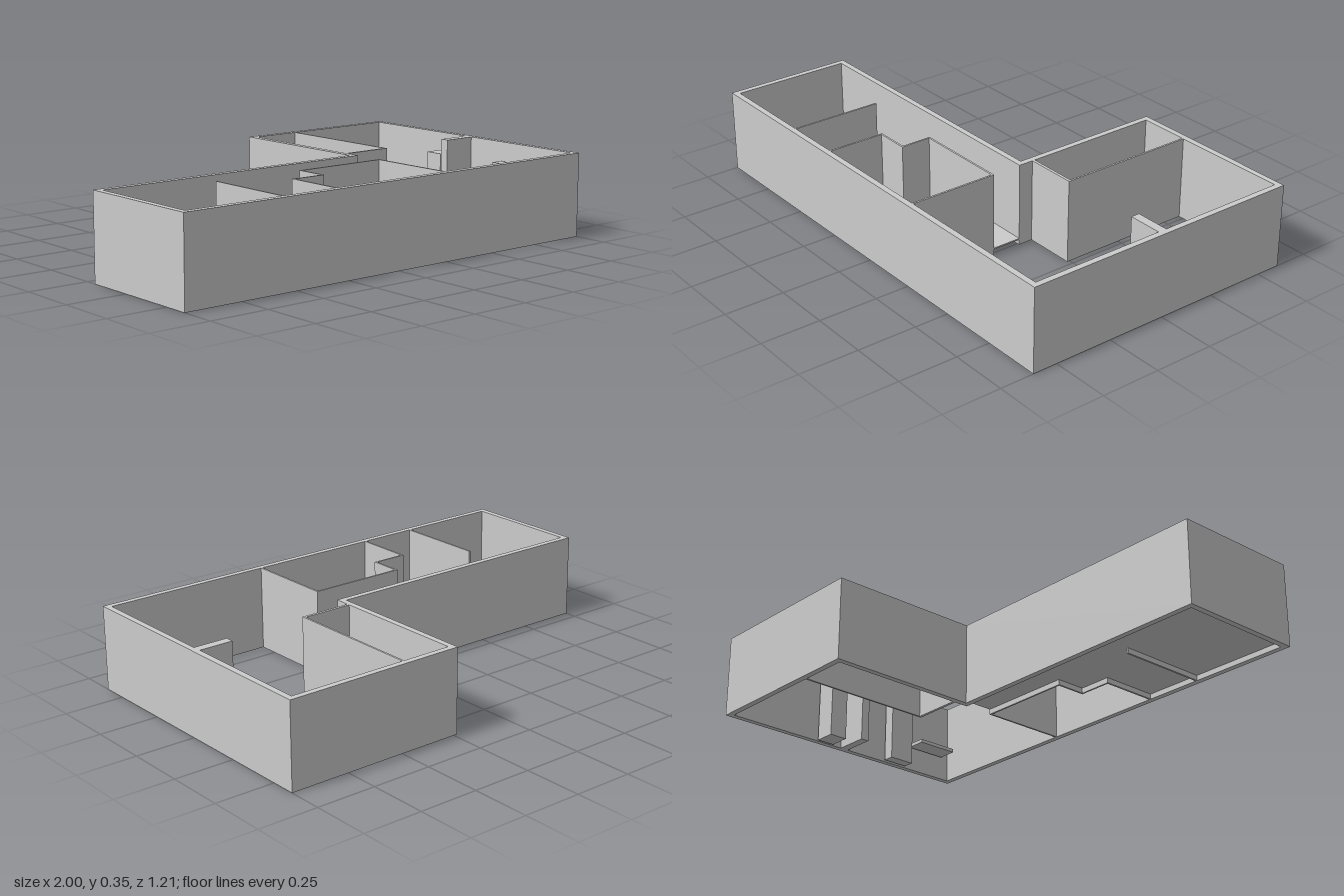
import * as THREE from 'three';

const H = 0.35; // wall height
const T = 0.025; // outer wall thickness
const t = 0.008; // partition thickness

export function createModel() {
  const model = new THREE.Group();
  const material = new THREE.MeshStandardMaterial({ color: 0xcccccc, flatShading: true });

  const outline = (points, Type = THREE.Shape) =>
    new Type(points.map(([x, z]) => new THREE.Vector2(x, z)));

  // Plan drawn in (x, z), extruded between two heights
  function slab(name, shape, bottom, top) {
    const geometry = new THREE.ExtrudeGeometry(shape, { depth: top - bottom, bevelEnabled: false });
    geometry.rotateX(Math.PI / 2).translate(0, top, 0);
    const mesh = new THREE.Mesh(geometry, material);
    mesh.name = name;
    model.add(mesh);
  }

  // Box given by its plan rectangle and height range
  function block(name, x0, x1, z0, z1, y0, y1) {
    const mesh = new THREE.Mesh(new THREE.BoxGeometry(x1 - x0, y1 - y0, z1 - z0), material);
    mesh.position.set((x0 + x1) / 2, (y0 + y1) / 2, (z0 + z1) / 2);
    mesh.name = name;
    model.add(mesh);
  }

  // L-shaped outer walls
  const plan = (inset) => [
    [-1 + inset, 0.05 + inset], [0.235 + inset, 0.05 + inset],
    [0.235 + inset, -0.605 + inset], [1 - inset, -0.605 + inset],
    [1 - inset, 0.605 - inset], [-1 + inset, 0.605 - inset],
  ];
  const walls = outline(plan(0));
  walls.holes.push(outline(plan(T), THREE.Path));
  slab('outerWalls', walls, 0, H);

  // Raised floor of the long wing, stepping around the inner room
  slab('floor', outline([
    [-0.98, 0.07], [0.26, 0.07], [0.26, 0.205], [-0.15, 0.205],
    [-0.15, 0.335], [-0.293, 0.335], [-0.293, 0.585], [-0.98, 0.585],
  ]), 0.022, 0.028);

  // Stepped partition of the inner room
  slab('steppedPartition', outline([
    [-0.297, 0.58], [-0.297, 0.331], [-0.154, 0.331], [-0.154, 0.201],
    [0.262, 0.201], [0.262, 0.58], [0.262 - t, 0.58], [0.262 - t, 0.201 + t],
    [-0.154 + t, 0.201 + t], [-0.154 + t, 0.331 + t],
    [-0.297 + t, 0.331 + t], [-0.297 + t, 0.58],
  ]), 0, H);

  // Straight partitions
  block('endRoomPartition', -0.549, -0.549 + t, 0.19, 0.58, 0, H);
  block('backRoomSidePartition', 0.479 - t, 0.479, -0.58, 0.012, 0, H);
  block('backRoomFrontPartition', 0.26, 0.479 - t, 0, 0.012, 0, H);
  block('stubWall', 0.83, 0.98, -0.025, 0.012, 0, H);

  // Furniture along the side wall
  block('wardrobe', 0.875, 0.965, -0.155, -0.075, 0, 0.275);
  block('cabinet', 0.91, 0.958, 0.205, 0.32, 0, 0.27);
  block('deskTop', 0.88, 0.965, 0.35, 0.535, 0.1, 0.115);

  return model;
}
